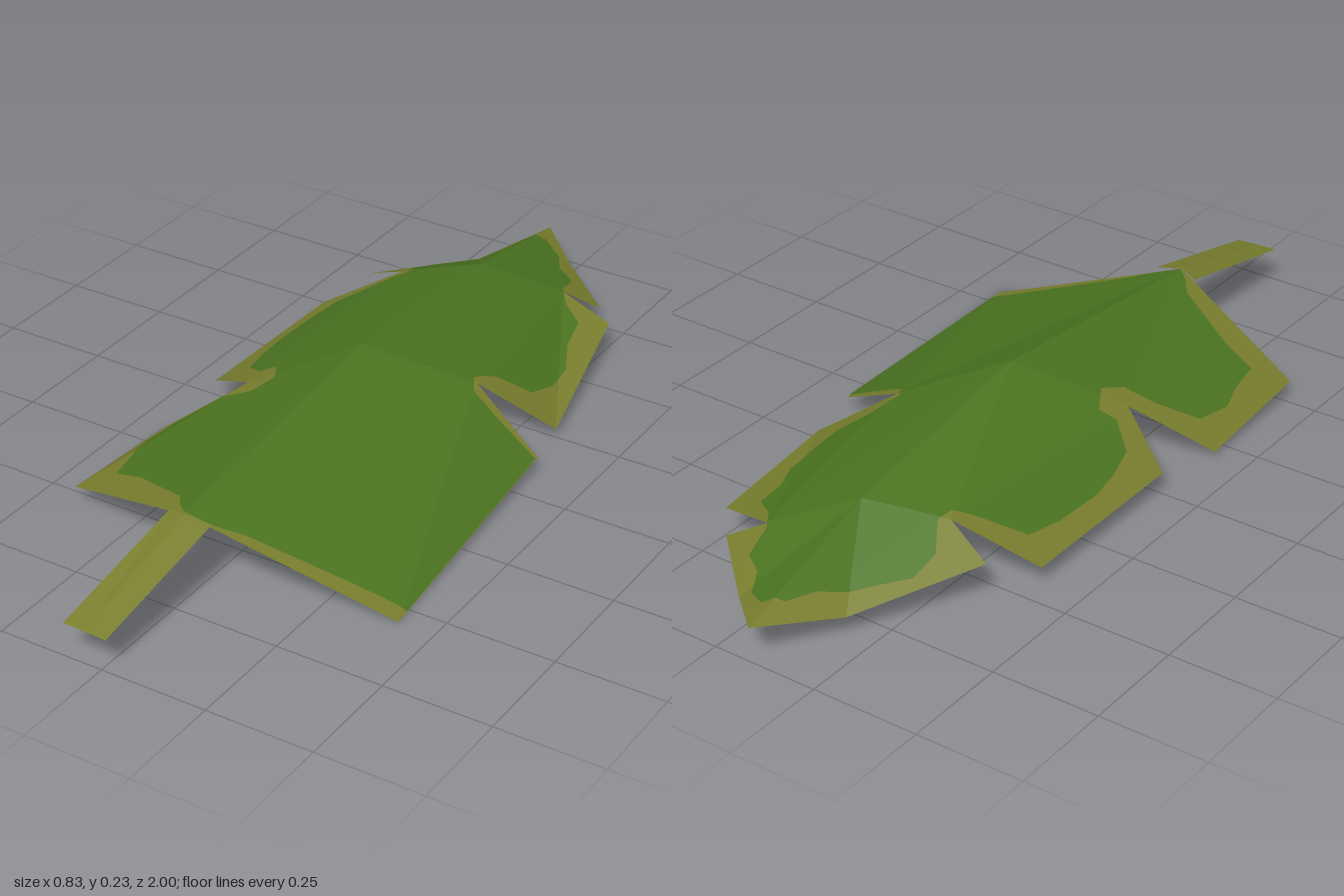
import * as THREE from 'three';

// Leaf vertices [x, y, z]: M = midrib, L / R = lobe corners, N = notches
const P = {
  M0: [-0.09, 0.08, -1], M1: [-0.06, 0.165, -0.6], M2: [-0.04, 0.225, -0.04], M3: [-0.04, 0.16, 0.65],
  L1: [-0.19, 0.045, -0.82], L2: [-0.34, 0.085, -0.55], N2: [-0.23, 0.135, -0.52],
  L4: [-0.4, 0.04, -0.44], L5: [-0.405, 0.045, 0.01], N1: [-0.26, 0.125, 0.09],
  L7: [-0.42, 0.01, 0.2], L8: [-0.415, 0.035, 0.53],
  R0: [0.02, 0.055, -0.9], R1: [0.19, 0.055, -0.74], N3: [0.11, 0.095, -0.7],
  R3: [0.25, 0.065, -0.67], R4: [0.34, 0.02, -0.25], N4: [0.18, 0.13, -0.17],
  R6: [0.37, 0.03, -0.11], R7: [0.415, 0, 0.55],
};

// Flat facets of the folded blade
const FACETS = [
  'M0 L1 M1', 'L1 L2 N2', 'L1 N2 M1',
  'M1 N2 M2', 'N2 N1 M2', 'N2 L4 L5', 'N2 L5 N1',
  'M2 N1 M3', 'N1 L7 L8', 'N1 L8 M3',
  'M0 R0 M1', 'R0 R1 N3', 'R0 N3 M1',
  'M1 N3 M2', 'N3 N4 M2', 'N3 R3 R4', 'N3 R4 N4',
  'M2 N4 M3', 'N4 R6 R7', 'N4 R7 M3',
].map((s) => upward(s.split(' ').map((k) => P[k])));

// Wavy outline of the green centre, as x, z pairs
const CENTRE = [
  -0.04, 0.645, -0.07, 0.62, -0.1, 0.58, -0.18, 0.54, -0.26, 0.5, -0.34, 0.48, -0.355, 0.4, -0.375, 0.32,
  -0.36, 0.23, -0.33, 0.2, -0.285, 0.155, -0.22, 0.135, -0.195, 0.08, -0.23, 0.02, -0.27, 0.03,
  -0.33, -0.02, -0.35, -0.1, -0.36, -0.18, -0.355, -0.31, -0.34, -0.4, -0.26, -0.46, -0.215, -0.5,
  -0.21, -0.54, -0.25, -0.6, -0.245, -0.67, -0.19, -0.74, -0.125, -0.83, -0.1, -0.9, -0.06, -0.925,
  -0.005, -0.89, 0.03, -0.83, 0.085, -0.79, 0.1, -0.715, 0.14, -0.66, 0.195, -0.62, 0.215, -0.53,
  0.255, -0.45, 0.265, -0.37, 0.255, -0.29, 0.19, -0.24, 0.165, -0.18, 0.19, -0.14, 0.27, -0.12,
  0.37, -0.1, 0.42, 0.51, 0.36, 0.52, 0.2, 0.565, 0.08, 0.6, 0.02, 0.63,
];

// Signed area in plan; negative means the face looks up
function turn(a, b, p) {
  return (b[0] - a[0]) * (p[2] - a[2]) - (b[2] - a[2]) * (p[0] - a[0]);
}

function upward(t) {
  return turn(...t) > 0 ? [t[0], t[2], t[1]] : t;
}

// Clip a convex polygon to the plan outline of a facet
function clip(poly, facet) {
  for (let e = 0; e < 3; e++) {
    const a = facet[e], b = facet[(e + 1) % 3], out = [];
    poly.forEach((p, i) => {
      const q = poly[(i + 1) % poly.length];
      const dp = turn(a, b, p), dq = turn(a, b, q);
      if (dp <= 0) out.push(p);
      if (dp * dq < 0) {
        const t = dp / (dp - dq);
        out.push(p.map((v, k) => v + (q[k] - v) * t));
      }
    });
    poly = out;
  }
  return poly;
}

// Lift a plan point onto the plane of a facet
function lift(p, [a, b, c], offset) {
  const area = turn(a, b, c);
  const u = turn(b, c, p) / area, v = turn(c, a, p) / area;
  return [p[0], u * a[1] + v * b[1] + (1 - u - v) * c[1] + offset, p[2]];
}

function surface(triangles) {
  const g = new THREE.BufferGeometry();
  g.setAttribute('position', new THREE.Float32BufferAttribute(triangles.flat(2), 3));
  g.computeVertexNormals();
  return g;
}

// Thin green skin draped over the facets, on the upper or lower side
function centreSkin(side) {
  const outline = [];
  for (let i = 0; i < CENTRE.length; i += 2) outline.push(new THREE.Vector2(CENTRE[i], CENTRE[i + 1]));
  const pieces = THREE.ShapeUtils.triangulateShape(outline, [])
    .map((f) => upward(f.map((i) => [outline[i].x, 0, outline[i].y])));
  const tris = [];
  for (const facet of FACETS) {
    for (const piece of pieces) {
      const poly = clip(piece, facet).map((p) => lift(p, facet, side * 0.002));
      for (let i = 1; i < poly.length - 1; i++) {
        tris.push(side > 0 ? [poly[0], poly[i], poly[i + 1]] : [poly[0], poly[i + 1], poly[i]]);
      }
    }
  }
  return surface(tris);
}

export function createModel() {
  const material = (name, color, side) => {
    const m = new THREE.MeshStandardMaterial({ color, side });
    m.name = name;
    return m;
  };
  const green = material('leafGreen', 0x4c7521, THREE.FrontSide);
  const olive = material('edgeOlive', 0x7a7f2e, THREE.DoubleSide);

  const model = new THREE.Group();
  model.name = 'leaf';
  const add = (name, geometry, mat) => {
    const mesh = new THREE.Mesh(geometry, mat);
    mesh.name = name;
    model.add(mesh);
  };

  // Folded blade with its dry border, and the green centre on both sides
  add('bladeBorder', surface(FACETS), olive);
  add('centreTop', centreSkin(1), green);
  add('centreUnderside', centreSkin(-1), green);

  // Flat stalk, slightly ridged along the middle
  const back = [[-0.085, 0.15, 0.637], P.M3, [0.022, 0.15, 0.64]];
  const front = [[-0.09, 0.08, 1], [-0.038, 0.079, 1], [0.014, 0.076, 1]];
  const stalk = [];
  for (let i = 0; i < 2; i++) {
    stalk.push([back[i], front[i], front[i + 1]], [back[i], front[i + 1], back[i + 1]]);
  }
  add('stalk', surface(stalk), olive);
  return model;
}
